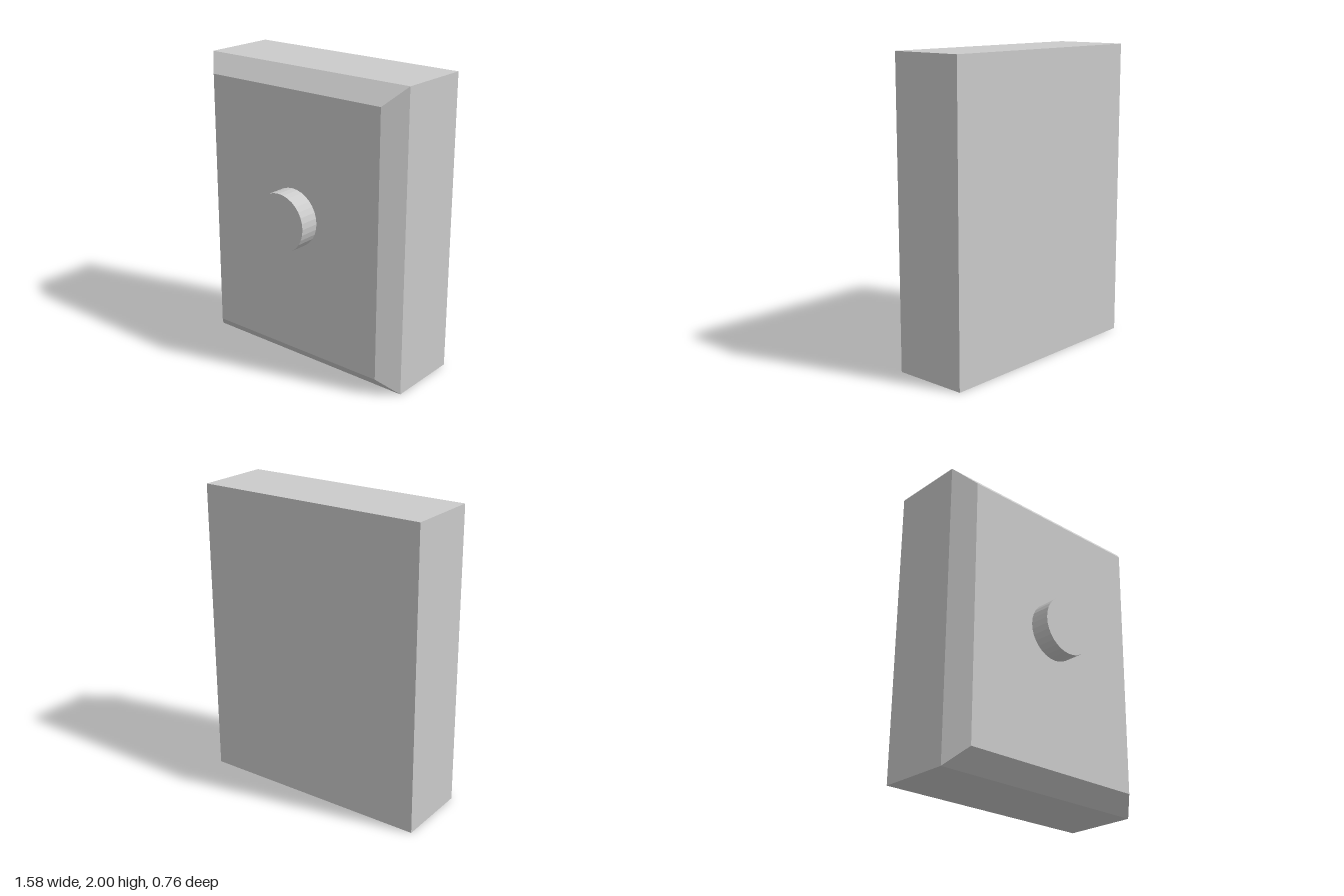
import * as THREE from 'three';

const WIDTH = 1.58, HEIGHT = 2, BEVEL = 0.117;
const BACK = -0.38, EDGE = 0.126, FACE = 0.245, KNOB_FRONT = 0.38;

// Box with a middle ring of vertices; its front ring is drawn in to form the bevel
function beveledBox() {
  const box = new THREE.BoxGeometry(WIDTH, HEIGHT, 2, 1, 1, 2);
  const pos = box.attributes.position;
  for (let i = 0; i < pos.count; i++) {
    const x = pos.getX(i), y = pos.getY(i), ring = Math.round(pos.getZ(i));
    const inset = ring === 1 ? BEVEL : 0;
    pos.setXYZ(i, x - Math.sign(x) * inset, y - Math.sign(y) * inset + HEIGHT / 2, [BACK, EDGE, FACE][ring + 1]);
  }
  const flat = box.toNonIndexed();
  flat.computeVertexNormals();
  return flat;
}

export function createModel() {
  const model = new THREE.Group();
  model.name = 'wallSwitch';
  const material = new THREE.MeshStandardMaterial({ color: 0xcccccc, flatShading: true });

  // Housing with beveled front edges
  const housing = new THREE.Mesh(beveledBox(), material);
  housing.name = 'housing';
  model.add(housing);

  // Round knob standing out from the front face
  const depth = KNOB_FRONT - FACE;
  const knob = new THREE.Mesh(new THREE.CylinderGeometry(0.195, 0.195, depth, 32).rotateX(Math.PI / 2), material);
  knob.name = 'knob';
  knob.position.set(0, 1.05, FACE + depth / 2);
  model.add(knob);

  return model;
}
